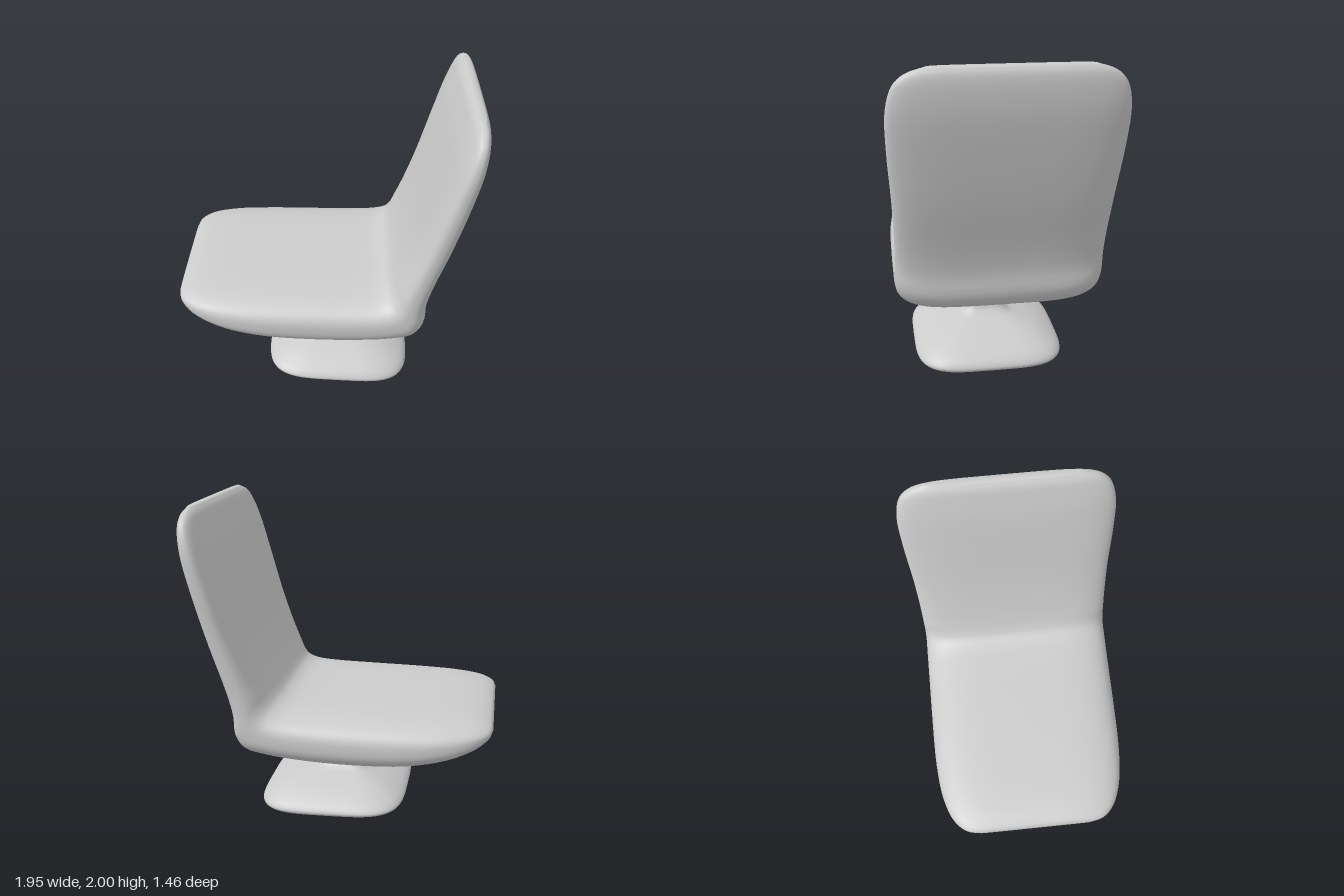
import * as THREE from 'three';

const SIDES = 72;

// signed power, used for superellipse sections
const spow = (v, p) => Math.sign(v) * Math.abs(v) ** p;

// closed skin over equal-sized rings, with fan caps at both ends
function loft(rings) {
  const pos = [], index = [], n = SIDES, last = rings.length - 1;
  rings.forEach(r => r.forEach(p => pos.push(p.x, p.y, p.z)));
  for (let j = 0; j < last; j++) {
    for (let i = 0; i < n; i++) {
      const k = (i + 1) % n, a = j * n, b = a + n;
      index.push(a + i, b + i, a + k, a + k, b + i, b + k);
    }
  }
  [0, last].forEach(j => {
    const c = new THREE.Vector3();
    rings[j].forEach(p => c.addScaledVector(p, 1 / n));
    const ci = pos.length / 3;
    pos.push(c.x, c.y, c.z);
    for (let i = 0; i < n; i++) {
      const a = j * n + i, b = j * n + (i + 1) % n;
      if (j === 0) index.push(ci, a, b);
      else index.push(ci, b, a);
    }
  });
  const g = new THREE.BufferGeometry();
  g.setAttribute('position', new THREE.Float32BufferAttribute(pos, 3));
  g.setIndex(index);
  g.computeVertexNormals();
  return g;
}

// superellipse ring: fn receives the two unit coordinates
function ring(nA, nB, fn) {
  return Array.from({ length: SIDES }, (_, i) => {
    const t = (i / SIDES) * Math.PI * 2;
    return fn(spow(Math.cos(t), 2 / nA), spow(Math.sin(t), 2 / nB));
  });
}

// smooth curve through rows of three numbers
const curve = rows => new THREE.CatmullRomCurve3(rows.map(r => new THREE.Vector3(...r)));

// seat and backrest: sections swept from the seat's front lip to the headrest
function shellGeometry() {
  // sitting side x, y; underside or rear x, y; half width
  const stations = [
    [-0.945, 0.70, -0.945, 0.675, 0.36],
    [-0.925, 0.725, -0.92, 0.635, 0.45],
    [-0.85, 0.75, -0.84, 0.575, 0.53],
    [-0.70, 0.764, -0.68, 0.505, 0.592],
    [-0.45, 0.77, -0.45, 0.45, 0.626],
    [-0.10, 0.772, -0.10, 0.425, 0.636],
    [0.20, 0.774, 0.25, 0.432, 0.638],
    [0.33, 0.785, 0.45, 0.452, 0.638],
    [0.385, 0.81, 0.59, 0.485, 0.636],
    [0.415, 0.845, 0.65, 0.57, 0.635],
    [0.445, 0.90, 0.657, 0.72, 0.634],
    [0.49, 1.00, 0.69, 0.88, 0.635],
    [0.57, 1.22, 0.785, 1.20, 0.645],
    [0.67, 1.55, 0.865, 1.53, 0.666],
    [0.74, 1.78, 0.908, 1.75, 0.665],
    [0.785, 1.90, 0.918, 1.89, 0.628],
    [0.81, 1.96, 0.912, 1.955, 0.565],
    [0.845, 2.00, 0.89, 1.995, 0.45],
  ];
  const inner = curve(stations.map(s => [s[0], s[1], s[4]]));
  const outer = curve(stations.map(s => [s[2], s[3], s[4]]));
  const steps = (stations.length - 1) * 4;
  const rings = [];
  for (let j = 0; j <= steps; j++) {
    const A = inner.getPoint(j / steps), B = outer.getPoint(j / steps);
    rings.push(ring(2.6, 4.5, (a, b) => new THREE.Vector3(
      (A.x + B.x) / 2 + a * (A.x - B.x) / 2,
      (A.y + B.y) / 2 + a * (A.y - B.y) / 2,
      -0.045 - b * A.z)));
  }
  return loft(rings);
}

// flared square pedestal: foot, waist and a collar that melts into the seat
function pedestalGeometry() {
  // half size, height, centre x
  const path = curve([
    [0.38, 0.004, 0.085], [0.45, 0.014, 0.085], [0.48, 0.042, 0.085],
    [0.462, 0.075, 0.085], [0.41, 0.112, 0.08], [0.33, 0.152, 0.07],
    [0.23, 0.187, 0.055], [0.165, 0.213, 0.04], [0.13, 0.252, 0.035],
    [0.122, 0.30, 0.035], [0.13, 0.35, 0.035], [0.165, 0.392, 0.035],
    [0.22, 0.42, 0.035], [0.30, 0.443, 0.035], [0.42, 0.48, 0.035],
  ]);
  const rings = [];
  for (let j = 0; j <= 56; j++) {
    const p = path.getPoint(j / 56);
    // the foot leans slightly, highest at its front edge
    const lean = p.y < 0.2 ? 0.05 * (1 - p.y / 0.2) : 0;
    rings.push(ring(4, 4, (a, b) => new THREE.Vector3(
      p.z + a * p.x,
      Math.max(0.003, p.y - a * p.x * lean),
      -0.015 + b * p.x)));
  }
  return loft(rings);
}

export function createModel() {
  const material = new THREE.MeshStandardMaterial({ color: 0xcccccc });
  const chair = new THREE.Group();
  chair.name = 'chair';
  const add = (name, geometry) => {
    const mesh = new THREE.Mesh(geometry, material);
    mesh.name = name;
    chair.add(mesh);
  };
  add('seatAndBackrest', shellGeometry());
  add('pedestal', pedestalGeometry());
  // the whole chair is turned a little about its upright axis
  chair.rotation.y = THREE.MathUtils.degToRad(-7.8);

  const model = new THREE.Group();
  model.name = 'swivelChair';
  model.add(chair);
  return model;
}
